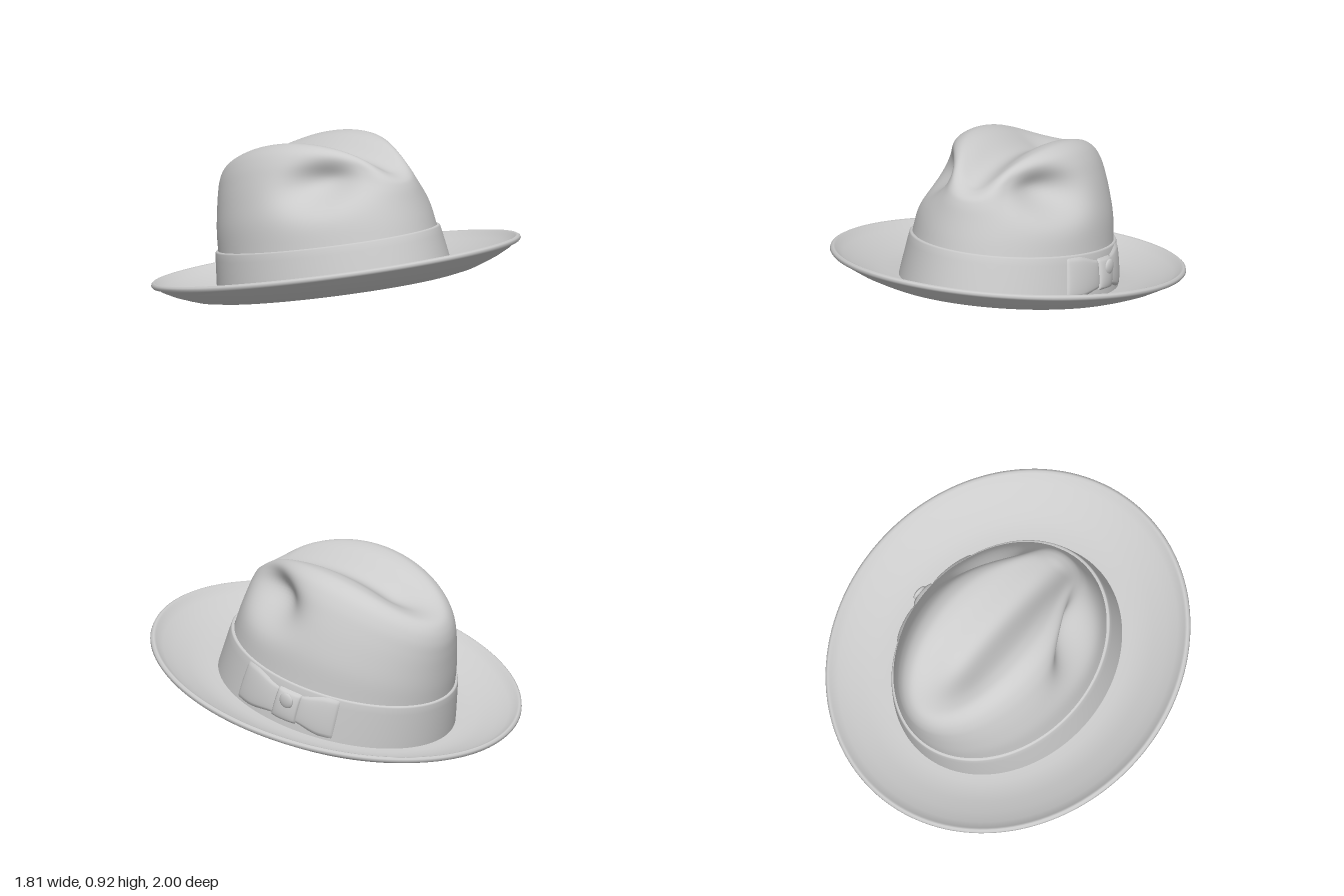
import * as THREE from 'three';
import { mergeVertices } from 'three/addons/utils/BufferGeometryUtils.js';

const TILT = 0.185; // the hat leans back
const BASE = 0.145; // height where the crown meets the brim
const material = new THREE.MeshStandardMaterial({ color: 0xcccccc, side: THREE.DoubleSide });
const { smoothstep, lerp } = THREE.MathUtils;

// Smooth surface from a function of (u, v), both 0..1
function surface(name, fn, nu, nv) {
  const pos = [], idx = [];
  for (let i = 0; i <= nu; i++)
    for (let j = 0; j <= nv; j++) pos.push(...fn(i / nu, j / nv));
  for (let i = 0; i < nu; i++)
    for (let j = 0; j < nv; j++) {
      const a = i * (nv + 1) + j, b = a + nv + 1;
      idx.push(a, b, b + 1, a, b + 1, a + 1);
    }
  let geo = new THREE.BufferGeometry();
  geo.setAttribute('position', new THREE.Float32BufferAttribute(pos, 3));
  geo.setIndex(idx);
  geo = mergeVertices(geo, 1e-5);
  geo.computeVertexNormals();
  const mesh = new THREE.Mesh(geo, material);
  mesh.name = name;
  return mesh;
}

// Crown cross-sections: height fraction, half width, half length
const crownProfile = new THREE.CatmullRomCurve3([
  [0, 0.535, 0.655], [0.1, 0.52, 0.645], [0.3, 0.498, 0.63], [0.5, 0.475, 0.622],
  [0.65, 0.44, 0.612], [0.78, 0.4, 0.602], [0.88, 0.36, 0.59], [0.95, 0.315, 0.567],
  [0.99, 0.26, 0.53], [1, 0.2, 0.45], [1, 0.12, 0.28], [1, 0.05, 0.12], [1, 0, 0],
].map((p) => new THREE.Vector3(...p)));

function crownPoint(u, v) {
  const a = u * Math.PI * 2;
  const { x: h, y: rx, z: rz } = crownProfile.getPoint(v);
  let x = Math.sin(a) * rx;
  let z = Math.cos(a) * rz + 0.025 * (1 - h);
  const top = 0.925 - (z > 0 ? 0.45 : 0.4) * z * z;
  let y = BASE + h * (top - BASE);
  // long crease along the top
  const along = smoothstep(z, -0.56, -0.2) * (1 - smoothstep(z, 0.5, 0.7));
  const crease = 0.1 * Math.exp(-((x / 0.135) ** 2)) * along * smoothstep(h, 0.72, 0.98);
  // pinches on both sides of the front
  const pinch = Math.exp(-(((z - 0.31) / 0.18) ** 2) - ((y - 0.7) / 0.11) ** 2)
    * smoothstep(Math.abs(x), 0.04, 0.22);
  x -= Math.sign(x) * 0.13 * pinch;
  z -= 0.04 * pinch;
  y -= crease;
  return [x, y, z];
}

// Brim section, closed, with a rolled lip: half length, height
const brimProfile = [
  [0.64, 0.15], [0.642, 0.135], [0.66, 0.132], [0.71, 0.131], [0.78, 0.144], [0.83, 0.161],
  [0.9, 0.188], [0.96, 0.219], [0.993, 0.242], [1.008, 0.244], [1.017, 0.255], [1.014, 0.267],
  [1.003, 0.274], [0.991, 0.27], [0.984, 0.258], [0.95, 0.235], [0.89, 0.205], [0.82, 0.178],
  [0.77, 0.162], [0.71, 0.151], [0.66, 0.152], [0.64, 0.15],
];

function brimPoint(u, v) {
  const a = u * Math.PI * 2;
  const [r, y] = brimProfile[Math.round(v * (brimProfile.length - 1))];
  const zc = lerp(0.025, 0.05, (r - 0.64) / 0.377);
  return [Math.sin(a) * (r - 0.11), y, zc + Math.cos(a) * r];
}

// Point on the lower crown wall at angle a and height y, pushed out by off
function wallPoint(a, y, off) {
  const k = (y - BASE) / 0.24;
  return [
    Math.sin(a) * (lerp(0.535, 0.497, k) + off), y,
    Math.cos(a) * (lerp(0.655, 0.63, k) + off) + 0.025 - 0.008 * k,
  ];
}

// Ring around the wall from [height, offset] pairs
function wallRing(name, section) {
  const n = section.length - 1;
  return surface(name, (u, v) => wallPoint(u * Math.PI * 2, ...section[Math.round(v * n)]), 128, n);
}

// Padded strip on the band between two angles; lo and hi give its edges along u
function pad(name, a0, a1, lo, hi, thick) {
  return surface(name, (u, v) => {
    const bulge = Math.pow(Math.max(0, 16 * u * (1 - u) * v * (1 - v)), 0.3);
    return wallPoint(lerp(a0, a1, u), lerp(lo(u), hi(u), v), 0.008 + thick * bulge);
  }, 24, 16);
}

export function createModel() {
  const hat = new THREE.Group();
  hat.name = 'hat';
  const tilted = new THREE.Group();
  tilted.name = 'tiltedHat';
  tilted.rotation.x = -TILT;
  hat.add(tilted);

  tilted.add(surface('crown', crownPoint, 128, 72));
  tilted.add(surface('brim', brimPoint, 128, brimProfile.length - 1));
  tilted.add(wallRing('hatBand', [
    [0.147, 0.012], [0.2, 0.013], [0.27, 0.013], [0.34, 0.013], [0.377, 0.012], [0.384, 0.008], [0.385, -0.004],
  ]));
  tilted.add(wallRing('sweatBand', [[0.14, -0.008], [0.22, -0.01], [0.3, -0.012], [0.36, -0.014]]));

  // Flat bow on the left side
  const bow = new THREE.Group();
  bow.name = 'bow';
  const waist = (u) => smoothstep(u, 0.3, 1);
  bow.add(pad('frontLoop', 1.12, 1.55, (u) => 0.16 + 0.03 * waist(u), (u) => 0.378 - 0.035 * waist(u), 0.022));
  bow.add(pad('backLoop', 1.72, 2.08, (u) => 0.16 + 0.03 * waist(1 - u), (u) => 0.382 - 0.035 * waist(1 - u), 0.022));
  bow.add(pad('knot', 1.52, 1.75, () => 0.18, () => 0.35, 0.036));

  // Small round boss on the knot
  const boss = new THREE.Mesh(new THREE.SphereGeometry(0.042, 24, 16), material);
  boss.name = 'knotBoss';
  boss.scale.x = 0.35;
  boss.position.set(...wallPoint(1.64, 0.3, 0.042));
  bow.add(boss);
  tilted.add(bow);
  return hat;
}
